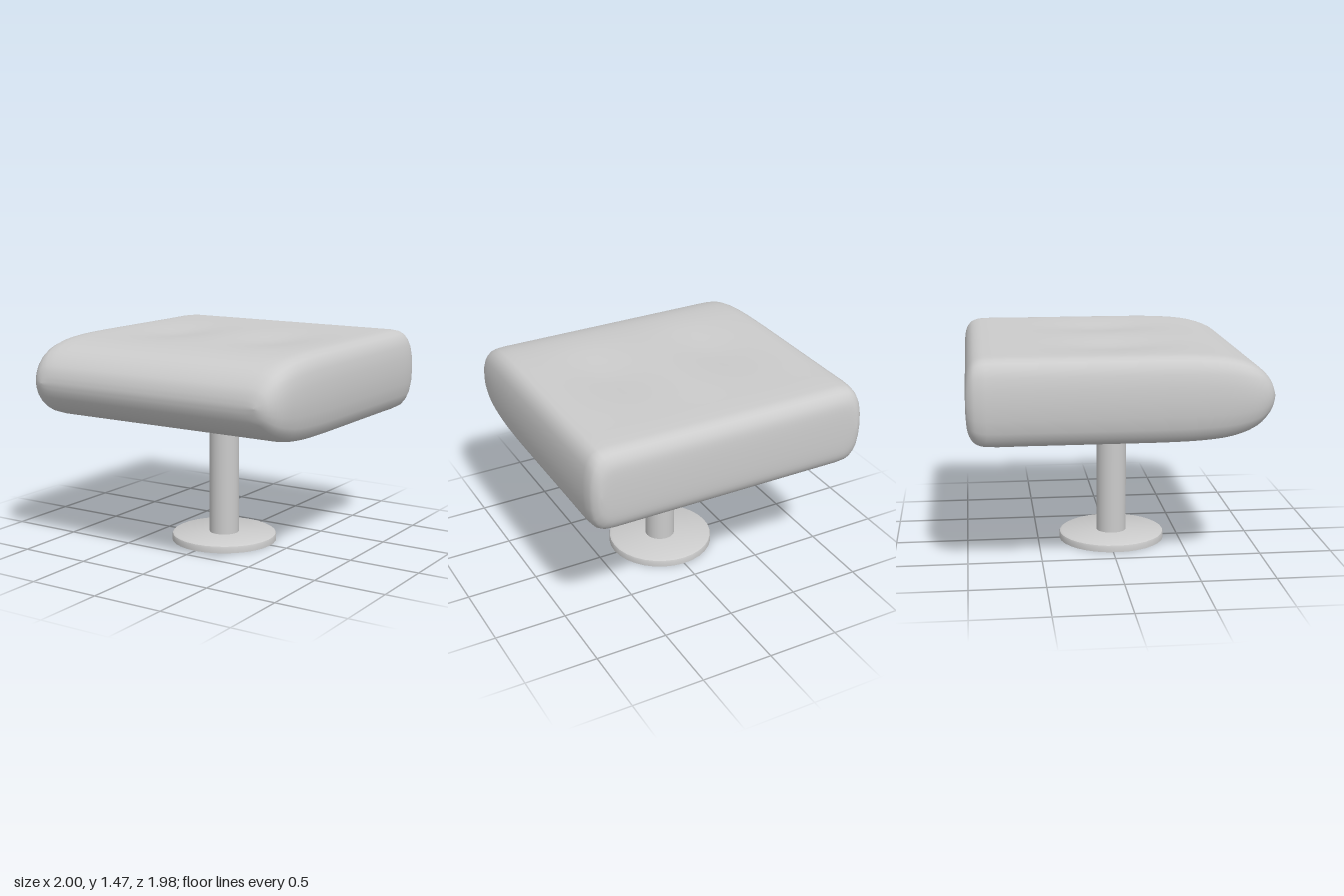
import * as THREE from 'three';
import { mergeVertices, toCreasedNormals } from 'three/addons/utils/BufferGeometryUtils.js';

const material = new THREE.MeshStandardMaterial({ color: 0xcccccc });
const MID_Y = 1.182, POST_Z = 0.025;

function addPart(group, name, geometry, y, z) {
  const mesh = new THREE.Mesh(geometry, material);
  mesh.name = name;
  mesh.position.set(0, y, z);
  group.add(mesh);
  return mesh;
}

// Soft block lofted from rounded sections running back to front
function cushionGeometry() {
  // z, half height, half width
  const stations = [
    [-0.988, 0, 0.93], [-0.985, 0.12, 0.935], [-0.974, 0.2, 0.955], [-0.945, 0.25, 0.98], [-0.91, 0.272, 0.99],
    [-0.86, 0.282, 0.996], [-0.6, 0.283, 0.998], [-0.3, 0.283, 0.998], [0, 0.283, 0.998], [0.3, 0.282, 0.997],
    [0.52, 0.275, 0.993], [0.71, 0.252, 0.984], [0.86, 0.198, 0.963], [0.95, 0.118, 0.915],
    [0.982, 0.05, 0.86], [0.99, 0, 0.83],
  ].map((s) => new THREE.Vector3(...s));
  const rings = new THREE.CatmullRomCurve3(stations).getPoints((stations.length - 1) * 3);

  // Quarter section: inset from the side, fraction of the half height
  const corner = [[0, 0], [0.004, 0.33], [0.018, 0.62], [0.038, 0.79], [0.065, 0.91], [0.1, 0.975], [0.16, 1]];
  const flat = 20;
  const upper = corner.map(([d, v]) => ({ s: 1, d, v }));
  for (let i = 1; i < flat; i++) upper.push({ s: 1 - (2 * i) / flat, d: 0.16, v: 1 });
  corner.slice().reverse().forEach(([d, v]) => upper.push({ s: -1, d, v }));
  const lower = upper.slice(1, -1).reverse().map((p) => ({ ...p, v: -p.v }));
  const section = [...upper, ...lower];

  // Two shallow hollows pressed into the top
  const hollow = (x, z) => 0.028 * Math.exp(-(((Math.abs(x) - 0.4) / 0.22) ** 2) - ((z / 0.35) ** 2));

  const positions = [], index = [], n = section.length;
  rings.forEach(({ x: z, y: h, z: w }, i) => {
    section.forEach(({ s, d, v }, j) => {
      const x = s * (w - d);
      positions.push(x, Math.max(h, 0) * v - (v === 1 && h > 0.2 ? hollow(x, z) : 0), z);
      if (i === rings.length - 1) return;
      const k = (j + 1) % n, a = i * n + j, b = i * n + k;
      index.push(a, b, a + n, b, b + n, a + n);
    });
  });
  let geometry = new THREE.BufferGeometry();
  geometry.setAttribute('position', new THREE.Float32BufferAttribute(positions, 3));
  geometry.setIndex(index);
  geometry = mergeVertices(geometry, 1e-5);
  geometry.computeVertexNormals();
  return geometry;
}

// Round plate with one softened rim
function plateGeometry() {
  const profile = [[0, 0], [0.372, 0], [0.372, 0.034], [0.368, 0.046], [0.354, 0.054], [0, 0.055]];
  const lathe = new THREE.LatheGeometry(profile.map((p) => new THREE.Vector2(...p)), 32);
  return toCreasedNormals(lathe, 0.7);
}

export function createModel() {
  const model = new THREE.Group();
  model.name = 'pedestalStool';
  addPart(model, 'seatCushion', cushionGeometry(), MID_Y, 0);
  addPart(model, 'post', new THREE.CylinderGeometry(0.105, 0.105, 0.83, 32), 0.455, POST_Z);
  addPart(model, 'basePlate', plateGeometry(), 0, POST_Z);
  // Mounting plate is the base plate turned upside down
  addPart(model, 'mountingPlate', plateGeometry(), 0.904, POST_Z).rotation.x = Math.PI;
  return model;
}
